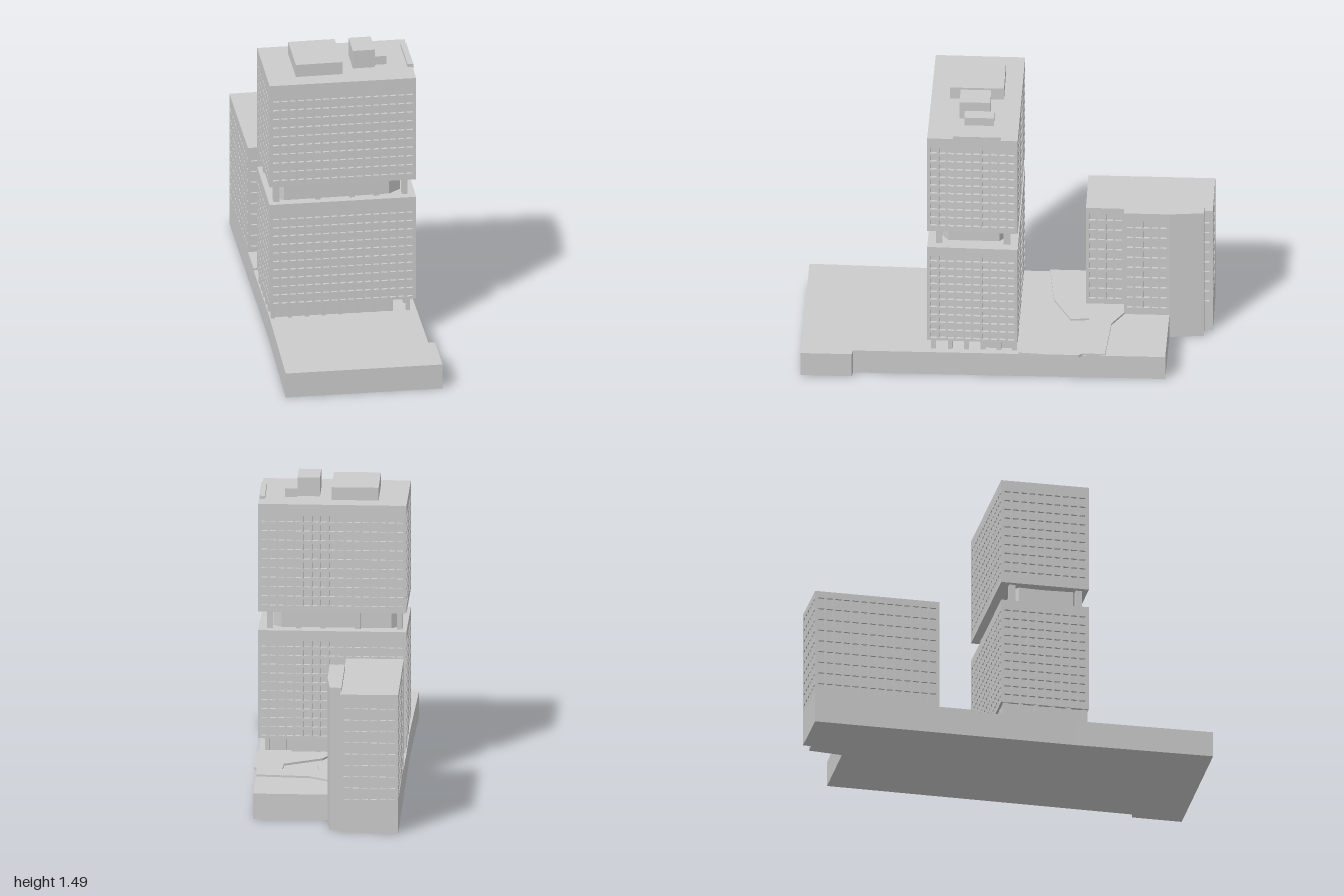
import * as THREE from 'three';

const material = new THREE.MeshStandardMaterial({ color: 0xcccccc, flatShading: true, side: THREE.DoubleSide });

function add(parent, name, geometry) {
  const mesh = new THREE.Mesh(geometry, material);
  mesh.name = name;
  parent.add(mesh);
  return mesh;
}

// Vertical prism over a plan outline of [x, z] points
function prism(parent, name, points, y0, y1) {
  const shape = new THREE.Shape(points.map(([x, z]) => new THREE.Vector2(x, -z)));
  const geo = new THREE.ExtrudeGeometry(shape, { depth: y1 - y0, bevelEnabled: false });
  geo.rotateX(-Math.PI / 2).translate(0, y0, 0);
  return add(parent, name, geo);
}

function box(parent, name, x0, x1, y0, y1, z0, z1) {
  const geo = new THREE.BoxGeometry(x1 - x0, y1 - y0, z1 - z0);
  geo.translate((x0 + x1) / 2, (y0 + y1) / 2, (z0 + z1) / 2);
  return add(parent, name, geo);
}

// Pierced window grid standing on the plan edge a-b, outside to the right of a-b
function windowWall(parent, name, a, b, y0, y1, rows, cols, depth) {
  const dx = b[0] - a[0], dz = b[1] - a[1];
  const width = Math.hypot(dx, dz), height = y1 - y0;
  const shape = new THREE.Shape([[0, 0], [width, 0], [width, height], [0, height]].map((p) => new THREE.Vector2(...p)));
  const margin = depth * 0.8;
  const pw = (width - 2 * margin) / cols, ph = height / rows;
  for (let r = 0; r < rows; r++) {
    for (let c = 0; c < cols; c++) {
      const u0 = margin + pw * (c + 0.14), u1 = margin + pw * (c + 0.86);
      const v0 = ph * (r + 0.16), v1 = ph * (r + 0.84);
      shape.holes.push(new THREE.Path([[u0, v0], [u0, v1], [u1, v1], [u1, v0]].map((p) => new THREE.Vector2(...p))));
    }
  }
  const geo = new THREE.ExtrudeGeometry(shape, { depth, bevelEnabled: false });
  geo.translate(0, 0, -depth);
  const wall = add(parent, name, geo);
  wall.position.set(a[0], y0, a[1]);
  wall.rotation.y = Math.atan2(-dz, dx);
}

function inset(quad, d) {
  const cx = quad.reduce((s, p) => s + p[0], 0) / 4;
  const cz = quad.reduce((s, p) => s + p[1], 0) / 4;
  return quad.map(([x, z]) => [x - Math.sign(x - cx) * d, z - Math.sign(z - cz) * d]);
}

// Four-sided block: solid bottom and top bands, recessed core and window walls between
function block(parent, name, quad, [y0, w0, w1, y1], rows, cols, depth) {
  const group = new THREE.Group();
  group.name = name;
  parent.add(group);
  prism(group, 'lowerBand', quad, y0, w0);
  prism(group, 'glazingCore', inset(quad, depth * 0.9), w0, w1);
  prism(group, 'roofBand', quad, w1, y1);
  quad.forEach((a, i) => windowWall(group, 'windowWall', a, quad[(i + 1) % 4], w0, w1, rows, cols[i % 2], depth));
  return group;
}

export function createModel() {
  const model = new THREE.Group();
  model.name = 'towerComplex';

  // Podium and raised terrace
  prism(model, 'podium', [
    [-0.39, 0.99], [0.385, 1], [0.385, 0.75], [0.352, 0.745], [0.345, -0.785],
    [-0.02, -0.79], [-0.09, -0.79], [-0.375, -0.79], [-0.375, 0.3],
  ], 0, 0.13);
  prism(model, 'terrace', [
    [-0.375, -0.38], [-0.375, -0.19], [-0.12, -0.22], [0.05, -0.31], [0.04, -0.4], [0.22, -0.39],
    [0.215, -0.3], [0.03, -0.2], [-0.02, -0.11], [0.18, -0.1], [0.19, -0.065], [0.35, -0.065],
    [0.36, -0.2], [0.36, -0.36], [0.345, -0.38], [0.345, -0.49], [0.08, -0.51], [-0.02, -0.57],
    [-0.09, -0.57], [-0.09, -0.38],
  ], 0.125, 0.14);

  // Tower blocks, corners counter-clockwise from front right side
  const plan = [[-0.378, 0.37], [0.345, 0.382], [0.353, -0.062], [-0.375, -0.068]];
  block(model, 'lowerTower', plan, [0.198, 0.205, 0.705, 0.75], 11, [17, 10], 0.014);
  block(model, 'upperTower', plan, [0.845, 0.87, 1.345, 1.395], 10, [17, 10], 0.014);

  // Ground floor: set-back lobby with piers around it
  prism(model, 'lobby', [[-0.362, 0.35], [0.215, 0.36], [0.215, 0.1], [0.3, 0.1], [0.3, -0.05], [-0.362, -0.055]], 0.125, 0.2);
  for (let i = 0; i < 9; i++) {
    const x = -0.36 + i * 0.0835;
    for (const z of [0.352, -0.045]) box(model, 'groundPier', x - 0.01, x + 0.01, 0.125, 0.2, z - 0.012, z + 0.012);
  }
  for (const z of [0.27, 0.19, 0.11, 0.03]) {
    box(model, 'groundPier', 0.295, 0.318, 0.125, 0.2, z - 0.012, z + 0.012);
    box(model, 'groundPier', -0.372, -0.35, 0.125, 0.2, z - 0.012, z + 0.012);
  }

  // Recessed sky floor between the blocks
  prism(model, 'skyFloor', [
    [-0.335, 0.3], [-0.3, 0.325], [0.22, 0.325], [0.28, 0.28], [0.28, 0.03], [0.24, 0], [-0.3, 0], [-0.335, 0.03],
  ], 0.745, 0.85);
  for (const x of [-0.34, -0.135, 0.035, 0.155, 0.295]) {
    for (const z of [0.325, -0.008]) box(model, 'skyPier', x - 0.014, x + 0.014, 0.745, 0.85, z - 0.016, z + 0.016);
  }

  // Shallow belly under the upper block
  const soffit = new THREE.PlaneGeometry(1, 1, 12, 8);
  const pos = soffit.attributes.position;
  for (let i = 0; i < pos.count; i++) {
    const u = pos.getX(i) * 2, v = pos.getY(i) * 2;
    const sag = (1 - u * u) * (1 - Math.abs(v) ** 1.5);
    pos.setXYZ(i, -0.013 + u * 0.355, 0.846 - 0.034 * sag, 0.156 + v * 0.212);
  }
  soffit.computeVertexNormals();
  add(model, 'soffit', soffit);

  // Rooftop plant rooms
  box(model, 'largePlantRoom', -0.235, -0.005, 1.39, 1.46, 0.02, 0.285);
  box(model, 'tallPlantRoom', 0.055, 0.165, 1.39, 1.49, 0.08, 0.23);
  box(model, 'smallPlantRoom', 0.165, 0.225, 1.39, 1.44, 0.06, 0.205);
  box(model, 'roofKerb', 0.322, 0.35, 1.39, 1.412, 0.02, 0.255);

  // Rear slab building
  const slab = [[-0.375, -0.378], [-0.092, -0.378], [-0.09, -1], [-0.375, -1]];
  block(model, 'rearSlab', slab, [0, 0.16, 0.68, 0.705], 9, [6, 14], 0.012);

  // Narrow wing along the slab, windowed on its straight side
  const wing = new THREE.Group();
  wing.name = 'sideWing';
  model.add(wing);
  const outline = (x) => [[-0.095, -0.567], [x, -0.567], [x, -0.79], [-0.02, -0.79], [-0.037, -0.958], [-0.095, -0.958]];
  prism(wing, 'wingBase', outline(-0.02), 0, 0.16);
  prism(wing, 'wingCore', outline(-0.031), 0.16, 0.69);
  prism(wing, 'wingRoof', outline(-0.02), 0.69, 0.727);
  windowWall(wing, 'wingWindows', [-0.02, -0.567], [-0.02, -0.79], 0.16, 0.69, 9, 5, 0.012);

  return model;
}
